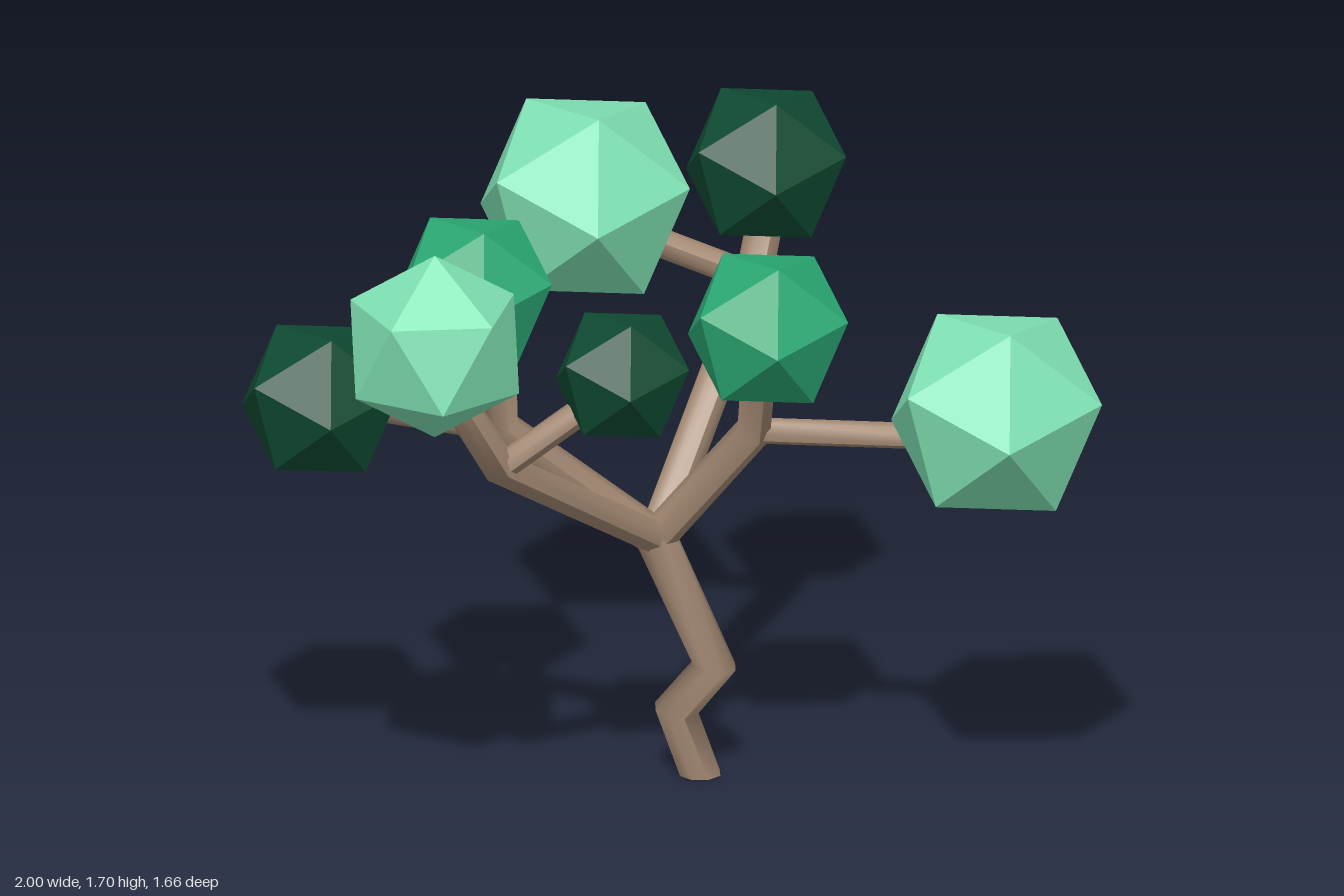
import * as THREE from 'three';

const V = (p) => new THREE.Vector3(...p);
const UP = new THREE.Vector3(0, 1, 0);
const mat = (color, flatShading = false) => new THREE.MeshStandardMaterial({ color, flatShading });

// Faceted limb: a cylinder whose rings are moved onto the points of a path
function limb(name, points, radii, material) {
  const pts = points.map(V), n = pts.length;
  const rings = pts.map((p, i) => {
    const t = new THREE.Vector3();
    if (i > 0) t.add(p.clone().sub(pts[i - 1]).normalize());
    if (i < n - 1) t.add(pts[i + 1].clone().sub(p).normalize());
    if (p.y === 0) t.copy(UP); // flat foot on the ground
    return new THREE.Quaternion().setFromUnitVectors(UP, t.normalize());
  });
  const geo = new THREE.CylinderGeometry(1, 1, 1, 8, n - 1);
  const pos = geo.attributes.position, v = new THREE.Vector3();
  for (let k = 0; k < pos.count; k++) {
    v.fromBufferAttribute(pos, k);
    const i = Math.round((v.y + 0.5) * (n - 1));
    v.y = 0;
    v.multiplyScalar(radii[i]).applyQuaternion(rings[i]).add(pts[i]);
    pos.setXYZ(k, v.x, v.y, v.z);
  }
  geo.computeVertexNormals();
  const mesh = new THREE.Mesh(geo, material);
  mesh.name = name;
  return mesh;
}

// Rotation that places two neighbouring icosahedron corners along a and b
function cornersAlong(a, b) {
  const p = V(a).normalize(), q = V(b).normalize();
  const y = p.clone().add(q).normalize();
  const x = q.sub(p).normalize();
  const z = x.clone().cross(y);
  return new THREE.Quaternion().setFromRotationMatrix(new THREE.Matrix4().makeBasis(x, y, z));
}

export function createModel() {
  const tree = new THREE.Group();
  tree.name = 'tree';
  const bark = mat(0xa58a74);
  const light = mat(0x80e3b4, true), mid = mat(0x2aa873, true), dark = mat(0x0f4a31, true);

  // Crooked trunk
  const fork = [0.055, 0.66, -0.1];
  tree.add(limb('trunk', [[0.176, 0, -0.095], [0.115, 0.18, -0.11], [0.195, 0.31, -0.045], fork],
    [0.056, 0.058, 0.058, 0.055], bark));
  const knot = new THREE.Mesh(new THREE.SphereGeometry(0.055, 8, 6), bark);
  knot.position.set(...fork);
  knot.name = 'forkKnot';
  tree.add(knot);

  // Each branch runs from the fork through an elbow to its tip, with one side twig
  const branches = [
    { name: 'leftFront', elbow: [-0.53, 1.05, 0.24], tip: [-0.69, 1.32, 0.24], twig: [-0.28, 1.25, 0.34], r: 0.045, rt: 0.036 },
    { name: 'rightFront', elbow: [0.25, 0.985, 0.08], tip: [0.2, 1.28, 0.24], twig: [0.7, 1.0, 0.38], r: 0.048, rt: 0.034 },
    { name: 'rightBack', elbow: [0.46, 1.21, -0.4], tip: [0.52, 1.4, -0.44], twig: [0.2, 1.33, -0.48], r: 0.05, rt: 0.038 },
    { name: 'leftBack', elbow: [-0.35, 1.0, -0.165], tip: [-0.36, 1.28, -0.17], twig: [-0.7, 1.08, -0.27], r: 0.05, rt: 0.038 },
  ];
  for (const b of branches) {
    tree.add(limb(b.name + 'Branch', [fork, b.elbow, b.tip], [b.r, b.r, b.r], bark));
    tree.add(limb(b.name + 'Twig', [b.elbow, b.twig], [b.rt, b.rt], bark));
  }

  // Leaf clusters
  const tilted = cornersAlong([-0.087, -0.01, 0.285], [-0.27, 0.095, 0.055]);
  const upright = cornersAlong([0, 1, 0], [0.894, 0.447, 0]);
  const clusters = [
    ['leafRightFront', [0.727, 1.12, 0.545], 0.296, light, tilted],
    ['leafBack', [0.056, 1.44, -0.556], 0.294, light, tilted],
    ['leafLeftFront', [-0.714, 1.41, 0.24], 0.248, light, upright],
    ['leafRightBack', [0.51, 1.505, -0.435], 0.225, dark, tilted],
    ['leafFront', [0.184, 1.355, 0.322], 0.225, mid, tilted],
    ['leafLeft', [-0.405, 1.365, -0.215], 0.219, mid, tilted],
    ['leafLeftBack', [-0.798, 1.1, -0.296], 0.222, dark, tilted],
    ['leafFrontSmall', [-0.238, 1.3, 0.353], 0.188, dark, tilted],
  ];
  for (const [name, centre, radius, material, turn] of clusters) {
    const leaf = new THREE.Mesh(new THREE.IcosahedronGeometry(radius, 0), material);
    leaf.position.set(...centre);
    leaf.quaternion.copy(turn);
    leaf.name = name;
    tree.add(leaf);
  }
  return tree;
}
